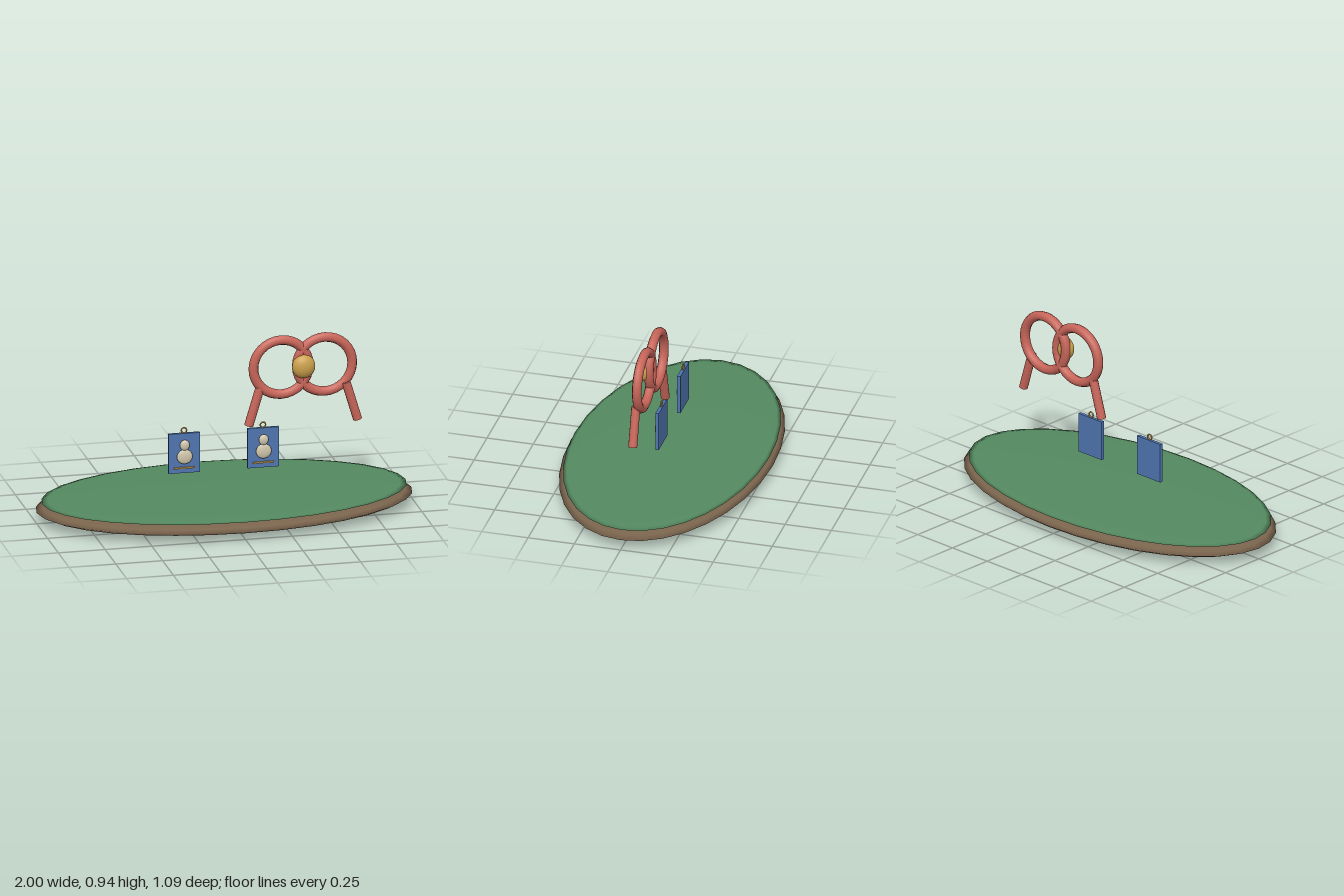
import * as THREE from 'three';

const paint = (name, color) => {
  const m = new THREE.MeshStandardMaterial({ color });
  m.name = name;
  return m;
};

export function createModel() {
  const soil = paint('soil brown', 0x7a644d);
  const grass = paint('grass green', 0x548a60);
  const coral = paint('coral red', 0xc9665a);
  const gold = paint('gold', 0xcba04c);
  const blue = paint('card blue', 0x4f76b0);
  const cream = paint('cream', 0xd2c8ae);

  const model = new THREE.Group();
  model.name = 'model';

  const add = (parent, name, geometry, material, x, y, z) => {
    const mesh = new THREE.Mesh(geometry, material);
    mesh.name = name;
    mesh.position.set(x, y, z);
    parent.add(mesh);
    return mesh;
  };
  const ellipsoid = (rx, ry, rz, w = 20, h = 14) =>
    new THREE.SphereGeometry(1, w, h).scale(rx, ry, rz);

  // Oval island: soil disc with a thin grass layer
  add(model, 'soilBase', ellipsoid(1, 0.058, 0.545, 32, 12), soil, 0, 0.058, 0);
  add(model, 'grassTop', ellipsoid(0.97, 0.018, 0.525, 32, 12), grass, 0, 0.102, 0);

  // Bow: two crossing rings, two hanging tails and a knot
  const bow = new THREE.Group();
  bow.name = 'bow';
  bow.position.set(0.421, 0.763, 0);
  model.add(bow);
  const up = new THREE.Vector3(0, 1, 0);
  for (const side of [-1, 1]) {
    const label = side > 0 ? 'left' : 'right';
    add(bow, label + 'Loop', new THREE.TorusGeometry(0.148, 0.026, 8, 32), coral, side * 0.116, 0, 0);
    const top = new THREE.Vector3(side * 0.227, -0.1, 0);
    const bottom = new THREE.Vector3(side * 0.289, -0.308, 0);
    const dir = top.clone().sub(bottom);
    const mid = top.clone().add(bottom).multiplyScalar(0.5);
    const tail = add(bow, label + 'Tail', new THREE.CylinderGeometry(0.024, 0.024, dir.length(), 10),
      coral, mid.x, mid.y, side > 0 ? 0.015 : 0);
    tail.quaternion.setFromUnitVectors(up, dir.normalize());
  }
  add(bow, 'knot', ellipsoid(0.062, 0.064, 0.038), gold, 0, 0.002, 0.02);

  // Two hanging cards, each with a small raised figure
  for (const x of [-0.214, 0.208]) {
    const card = new THREE.Group();
    card.name = 'card';
    card.position.set(x, 0.332, 0);
    model.add(card);
    add(card, 'plate', new THREE.BoxGeometry(0.168, 0.216, 0.018), blue, 0, 0, 0);
    add(card, 'hangingRing', new THREE.TorusGeometry(0.014, 0.004, 8, 20), gold, 0, 0.123, 0);
    add(card, 'figureHead', ellipsoid(0.026, 0.029, 0.013), cream, 0, 0.046, 0.018);
    add(card, 'figureBody', ellipsoid(0.042, 0.04, 0.012), cream, 0, -0.016, 0.018);
    add(card, 'captionBar', new THREE.BoxGeometry(0.11, 0.008, 0.009), gold, 0, -0.079, 0.0125);
  }
  return model;
}
